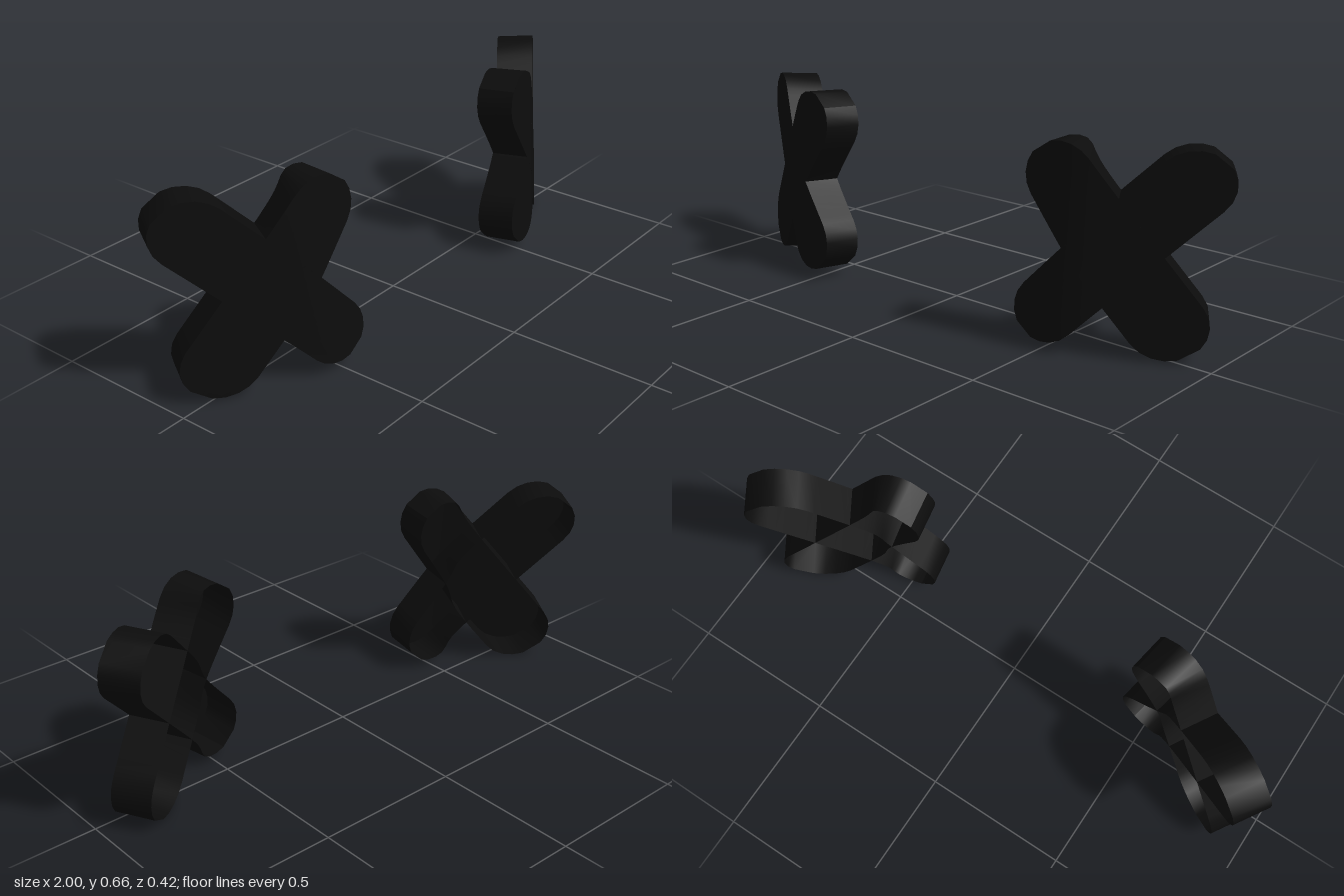
import * as THREE from 'three';

const black = new THREE.MeshStandardMaterial({ color: 0x0c0c0c, side: THREE.DoubleSide });
black.name = 'black';

const DEPTH = 0.13, TILT = 0.065, MID_Y = 0.33;

// Front of each cross in plan: a gentle inner part folding into a steeper outer part
const INNER = 0.17, OUTER = 0.63, FOLD_X = 0.61, FOLD_Z = 0.155, BLEND = 0.04;
function plan(x) {
  const t = x - FOLD_X;
  const root = Math.sqrt(t * t + BLEND * BLEND);
  const z = FOLD_Z + 0.01 - INNER * t - (OUTER - INNER) * 0.5 * (t + root);
  const slope = -INNER - (OUTER - INNER) * 0.5 * (1 + t / root);
  return { z, slope };
}

// Place a flat point on the bent, slightly leaning surface, d behind the front
function bend(x, y, d, side) {
  const { z, slope } = plan(x);
  const n = Math.hypot(1, slope);
  return [
    side * (x + (d * slope) / n),
    y - TILT * d,
    z - d / n - TILT * (y - MID_Y),
  ];
}

// Loft a grid of points given as rows
function loft(rows, side) {
  const cols = rows[0].length, index = [];
  for (let i = 0; i < rows.length - 1; i++) {
    for (let j = 0; j < cols - 1; j++) {
      const a = i * cols + j, b = a + 1, c = a + cols, d = c + 1;
      if (side > 0) index.push(a, c, b, b, c, d);
      else index.push(a, b, c, b, d, c);
    }
  }
  const g = new THREE.BufferGeometry();
  g.setAttribute('position', new THREE.Float32BufferAttribute(rows.flat(2), 3));
  g.setIndex(index);
  g.computeVertexNormals();
  return g;
}

// One round-ended bar: a bent front face and a wall around it, open at the back
function bar(name, from, to, radius, side) {
  const len = Math.hypot(to[0] - from[0], to[1] - from[1]);
  const ux = (to[0] - from[0]) / len, uy = (to[1] - from[1]) / len;
  const at = (u, v) => [from[0] + ux * u - uy * v, from[1] + uy * u + ux * v];

  // stations along the bar: [distance, half width]
  const cap = [18, 36, 54, 72].map((deg) => {
    const a = THREE.MathUtils.degToRad(deg);
    return [radius * Math.cos(a) * 1.04, radius * Math.sin(a)];
  });
  const stations = cap.map(([u, w]) => [-u, w]);
  for (let i = 0; i <= 20; i++) stations.push([(len * i) / 20, radius]);
  cap.slice().reverse().forEach(([u, w]) => stations.push([len + u, w]));

  const ACROSS = 8;
  const face = stations.map(([u, w]) =>
    Array.from({ length: ACROSS + 1 }, (_, j) =>
      bend(...at(u, w * ((2 * j) / ACROSS - 1)), 0, side)));

  // outline, anticlockwise, closed across both blunt ends
  const outline = stations.map(([u, w]) => at(u, -w));
  stations.slice().reverse().forEach(([u, w]) => outline.push(at(u, w)));
  outline.push(outline[0]);
  const wall = outline.map(([x, y]) => [DEPTH, 0].map((d) => bend(x, y, d, side)));

  const group = new THREE.Group();
  group.name = name;
  [['Face', face], ['Wall', wall]].forEach(([part, rows]) => {
    const mesh = new THREE.Mesh(loft(rows, side), black);
    mesh.name = name + part;
    group.add(mesh);
  });
  return group;
}

export function createModel() {
  const model = new THREE.Group();
  model.name = 'crossPair';
  for (const side of [1, -1]) {
    const cross = new THREE.Group();
    cross.name = side > 0 ? 'leftCross' : 'rightCross';
    cross.add(
      bar('risingBar', [0.525, 0.14], [0.893, 0.548], 0.105, side),
      bar('fallingBar', [0.542, 0.553], [0.853, 0.12], 0.108, side),
    );
    model.add(cross);
  }
  return model;
}
